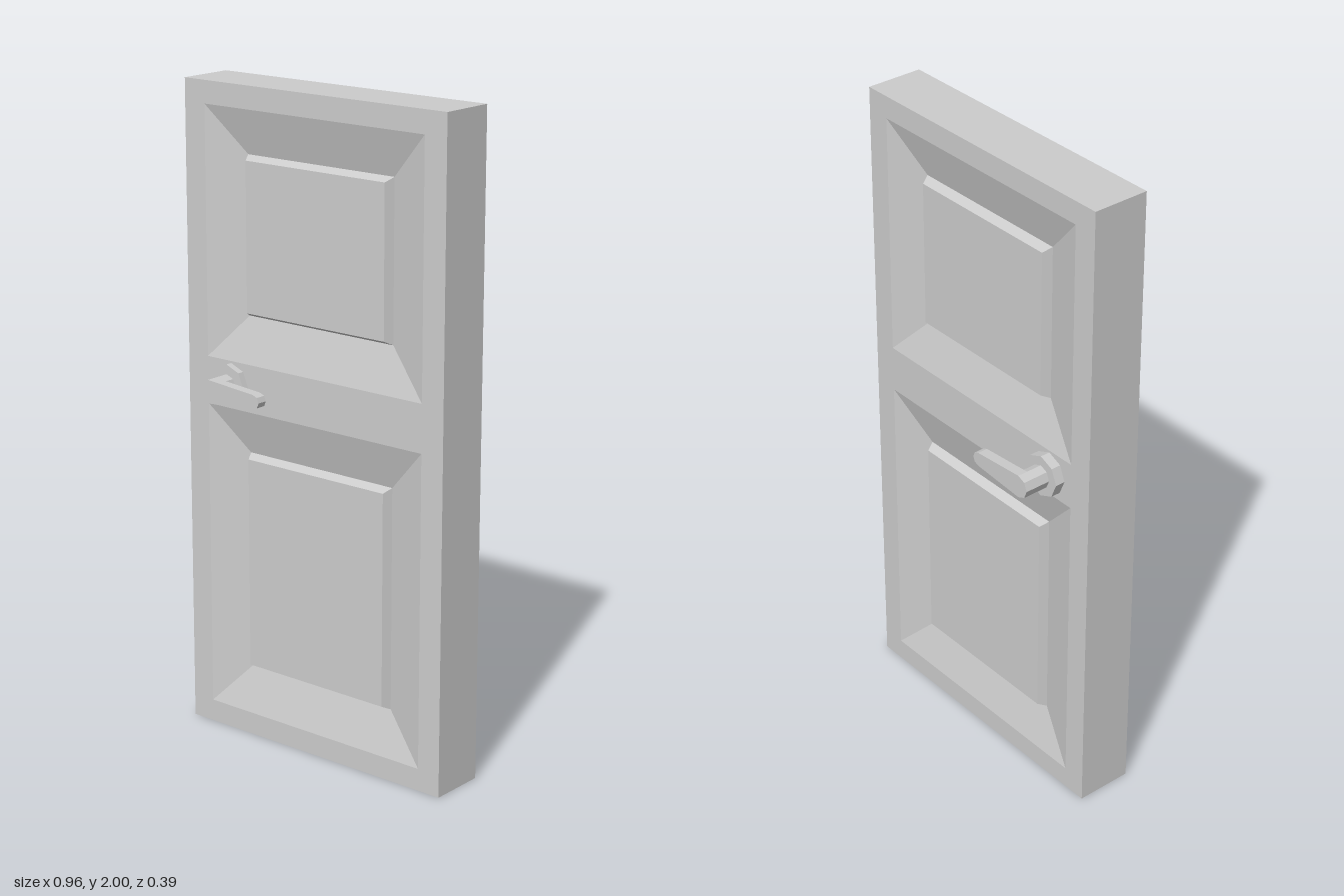
import * as THREE from 'three';

const material = new THREE.MeshStandardMaterial({ color: 0xcccccc, flatShading: true });
const HALF_W = 0.48, HEIGHT = 2, HALF_T = 0.089;

function addMesh(parent, name, geometry) {
  const mesh = new THREE.Mesh(geometry, material);
  mesh.name = name;
  parent.add(mesh);
  return mesh;
}

// Joins rectangles { x: half width, y0, y1, z } in order; optionally caps the last one
function loftRects(rects, cap) {
  const rings = rects.map(({ x, y0, y1, z }) => [[-x, y0, z], [x, y0, z], [x, y1, z], [-x, y1, z]]);
  const pos = [];
  const quad = (a, b, c, d) => pos.push(...a, ...b, ...c, ...a, ...c, ...d);
  for (let i = 0; i < rings.length - 1; i++) {
    for (let k = 0; k < 4; k++) {
      const n = (k + 1) % 4;
      quad(rings[i][k], rings[i][n], rings[i + 1][n], rings[i + 1][k]);
    }
  }
  if (cap) quad(...rings[rings.length - 1]);
  const geometry = new THREE.BufferGeometry();
  geometry.setAttribute('position', new THREE.Float32BufferAttribute(pos, 3));
  geometry.computeVertexNormals();
  return geometry;
}

function rectPath(path, x, y0, y1) {
  path.moveTo(-x, y0);
  path.lineTo(x, y0);
  path.lineTo(x, y1);
  path.lineTo(-x, y1);
  path.closePath();
  return path;
}

// One face of the door: flat frame, sloped recesses and raised bevelled panels
function createFace() {
  const face = new THREE.Group();
  const recesses = [
    { name: 'upperPanel', y0: 1.175, y1: 1.931 },
    { name: 'lowerPanel', y0: 0.069, y1: 1.029 },
  ];
  const frame = rectPath(new THREE.Shape(), HALF_W, 0, HEIGHT);
  for (const { name, y0, y1 } of recesses) {
    frame.holes.push(rectPath(new THREE.Path(), 0.404, y0, y1));
    const step = (inset, depth) => ({ x: 0.404 - inset, y0: y0 + inset * 1.03, y1: y1 - inset * 1.03, z: HALF_T - depth });
    addMesh(face, name, loftRects([step(0, 0), step(0.134, 0.039), step(0.147, 0.012)], true));
  }
  addMesh(face, 'faceFrame', new THREE.ShapeGeometry(frame)).position.z = HALF_T;
  return face;
}

// Eight-sided disc along z, from z0 to z1
function octagon(radius, z0, z1) {
  return new THREE.CylinderGeometry(radius, radius, z1 - z0, 8)
    .rotateX(Math.PI / 2).translate(0, 0, (z0 + z1) / 2);
}

// Tapered lever with a rosette and a neck, centred on the spindle
function createHandle() {
  const handle = new THREE.Group();
  addMesh(handle, 'rosette', octagon(0.066, 0.07, 0.115));
  addMesh(handle, 'neck', octagon(0.036, 0.11, 0.17));
  const outline = [];
  const halfRound = (cx, r, start) => {
    for (let i = 0; i <= 4; i++) {
      const a = start + i * Math.PI / 4;
      outline.push(new THREE.Vector2(cx + r * Math.cos(a), r * Math.sin(a)));
    }
  };
  halfRound(0, 0.036, Math.PI / 2);
  halfRound(0.176, 0.022, -Math.PI / 2);
  const lever = new THREE.ExtrudeGeometry(new THREE.Shape(outline), { depth: 0.032, bevelEnabled: false });
  addMesh(handle, 'lever', lever).position.z = 0.165;
  return handle;
}

export function createModel() {
  const door = new THREE.Group();
  door.name = 'door';

  // Slab: outer edges plus two identical faces
  const slab = new THREE.Group();
  slab.name = 'slab';
  slab.position.z = 0.003;
  const rim = { x: HALF_W, y0: 0, y1: HEIGHT };
  addMesh(slab, 'slabEdges', loftRects([{ ...rim, z: -HALF_T }, { ...rim, z: HALF_T }], false));
  const front = createFace();
  front.name = 'frontFace';
  const back = createFace();
  back.name = 'backFace';
  back.rotation.y = Math.PI;
  slab.add(front, back);
  door.add(slab);

  // Handles: the back one is flipped about the lever axis
  for (const [name, turn] of [['frontHandle', 0], ['backHandle', Math.PI]]) {
    const handle = createHandle();
    handle.name = name;
    handle.position.set(-0.311, 1.103, -0.002);
    handle.rotation.x = turn;
    door.add(handle);
  }
  return door;
}
